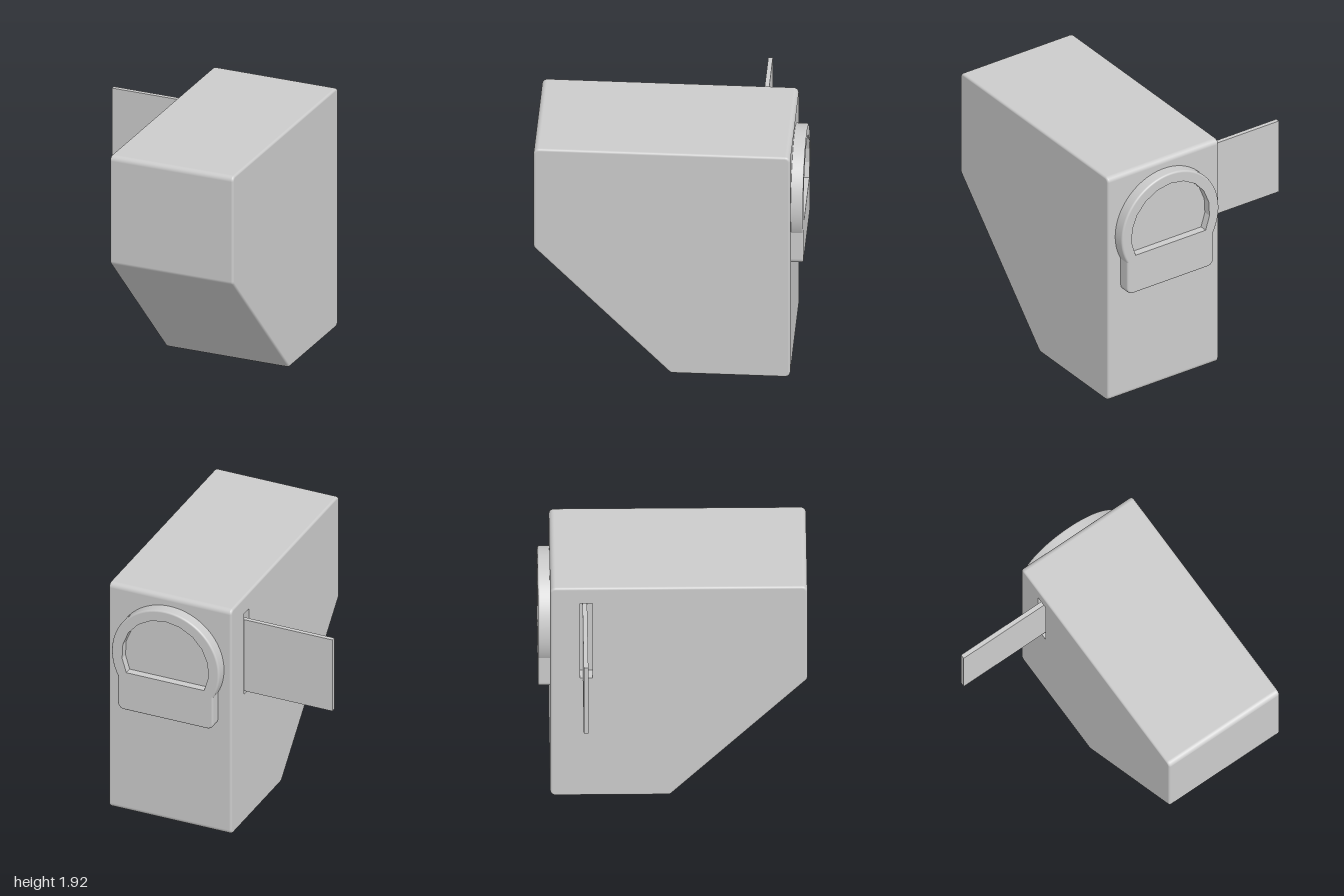
import * as THREE from 'three';
import { mergeGeometries } from 'three/addons/utils/BufferGeometryUtils.js';

const material = new THREE.MeshStandardMaterial({ color: 0xcccccc });
const toShape = (pts) => new THREE.Shape(pts.map((p) => new THREE.Vector2(p[0], p[1])));

// Flat cap at depth w, optionally cut by a hole; flip makes it face -w
function cap(pts, w, hole, flip) {
  const shape = toShape(pts);
  if (hole) shape.holes.push(toShape(hole));
  const geo = new THREE.ShapeGeometry(shape);
  if (flip) geo.scale(-1, 1, 1).rotateY(Math.PI).scale(1, 1, 1);
  return flip ? flipFaces(new THREE.ShapeGeometry(shape)).translate(0, 0, w) : geo.translate(0, 0, w);
}

function flipFaces(geo) {
  const index = geo.index.array;
  for (let i = 0; i < index.length; i += 3) [index[i], index[i + 1]] = [index[i + 1], index[i]];
  geo.computeVertexNormals();
  return geo;
}

// Side wall through rings [depth, inset, normal tilt]; outline(inset) gives [u, v, nu, nv] points
function wall(outline, rings) {
  const pos = [], nor = [], uv = [], index = [];
  const n = outline(0).length;
  rings.forEach(([w, inset, tilt], k) => {
    outline(inset).forEach(([u, v, nu, nv], i) => {
      pos.push(u, v, w);
      nor.push(nu * Math.cos(tilt), nv * Math.cos(tilt), Math.sin(tilt));
      uv.push(i / n, k);
      if (k === rings.length - 1) return;
      const a = k * n + i, b = k * n + (i + 1) % n;
      index.push(a, b, b + n, a, b + n, a + n);
    });
  });
  const geo = new THREE.BufferGeometry();
  geo.setAttribute('position', new THREE.Float32BufferAttribute(pos, 3));
  geo.setAttribute('normal', new THREE.Float32BufferAttribute(nor, 3));
  geo.setAttribute('uv', new THREE.Float32BufferAttribute(uv, 2));
  geo.setIndex(index);
  return geo;
}

// Recess with flat-sided walls facing inward and a floor
function pocket(pts, top, depth) {
  const rim = [...pts].reverse().map(([u, v]) => [u, v, 0, 0]);
  const sides = wall(() => rim, [[top - depth, 0, 0], [top, 0, 0]]).toNonIndexed();
  sides.computeVertexNormals();
  return mergeGeometries([sides, cap(pts, top - depth).toNonIndexed()]);
}

// Quarter-round edge rings around depth w; end is +1 or -1
function bevel(w, size, end) {
  const rings = [];
  for (let i = 0; i <= 4; i++) {
    const t = (i / 4) * Math.PI / 2;
    rings.push([w - end * size * (1 - Math.sin(t)), size * (1 - Math.cos(t)), end * t]);
  }
  return end > 0 ? rings : rings.reverse();
}

function arc(cx, cy, r, a0, a1, steps) {
  return Array.from({ length: steps + 1 }, (_, i) => {
    const a = a0 + (a1 - a0) * i / steps;
    return [cx + r * Math.cos(a), cy + r * Math.sin(a), Math.cos(a), Math.sin(a)];
  });
}

// Counter-clockwise convex polygon with rounded corners
function roundedPolygon(corners, r, inset) {
  const n = corners.length;
  const edgeAngle = (i) => {
    const p = corners[i % n], q = corners[(i + 1) % n];
    return Math.atan2(-(q[0] - p[0]), q[1] - p[1]);
  };
  return corners.flatMap(([x, y], i) => {
    const a0 = edgeAngle(i + n - 1);
    let a1 = edgeAngle(i);
    while (a1 < a0) a1 += 2 * Math.PI;
    const k = r / (1 + Math.cos(a1 - a0));
    return arc(x - k * (Math.cos(a0) + Math.cos(a1)), y - k * (Math.sin(a0) + Math.sin(a1)),
      r - inset, a0, a1, 6);
  });
}

// Round plate on a slightly narrower square foot
function badgeOutline(inset) {
  const R = 0.44 - inset, half = 0.39 - inset, r = 0.05;
  const a = Math.acos(half / R), y = -R * Math.sin(a);
  return [
    ...arc(-0.39 + r, -0.48 + r, r - inset, Math.PI, 1.5 * Math.PI, 6),
    ...arc(0.39 - r, -0.48 + r, r - inset, 1.5 * Math.PI, 2 * Math.PI, 6),
    [half, y, 1, 0],
    ...arc(0, 0, R, -a, Math.PI + a, 56),
    [-half, y, -1, 0],
  ];
}

export function createModel() {
  const model = new THREE.Group();
  const add = (name, geo) => {
    const mesh = new THREE.Mesh(geo, material);
    mesh.name = name;
    model.add(mesh);
    return mesh;
  };

  // Housing: side profile in (z, y), swept across the width, slotted on the -x side
  const profile = [[-0.91, 0], [-0.02, 0], [1, 1.06], [1, 1.92], [-0.91, 1.92]];
  const bodyOutline = (inset) => roundedPolygon(profile, 0.04, inset);
  const slot = [[-0.69, 1.09], [-0.595, 1.09], [-0.595, 1.78], [-0.69, 1.78]];
  const edge = 0.018;
  const body = add('housing', mergeGeometries([
    wall(bodyOutline, [...bevel(-0.855, edge, -1), ...bevel(0.15, edge, 1)]),
    cap(bodyOutline(edge), -0.855, null, true),
    cap(bodyOutline(edge), 0.15, slot),
  ]));
  body.rotation.y = -Math.PI / 2;
  add('slot', pocket(slot, 0.15, 0.1)).rotation.y = -Math.PI / 2;

  // Thin card standing out of the slot
  add('card', new THREE.BoxGeometry(0.81, 0.61, 0.034)).position.set(-0.46, 1.415, -0.652);

  // Back plate with a shallow D-shaped window
  const windowRim = arc(0, 0, 0.355, -0.46, Math.PI + 0.46, 12);
  const plate = add('backPlate', mergeGeometries([
    wall(badgeOutline, [[-0.01, 0, 0], ...bevel(0.09, 0.015, 1)]),
    cap(badgeOutline(0.015), 0.09, windowRim),
  ]));
  const recess = add('backWindow', pocket(windowRim, 0.09, 0.06));
  for (const part of [plate, recess]) {
    part.position.set(0.35, 1.4, -0.91);
    part.rotation.y = Math.PI;
  }
  return model;
}
